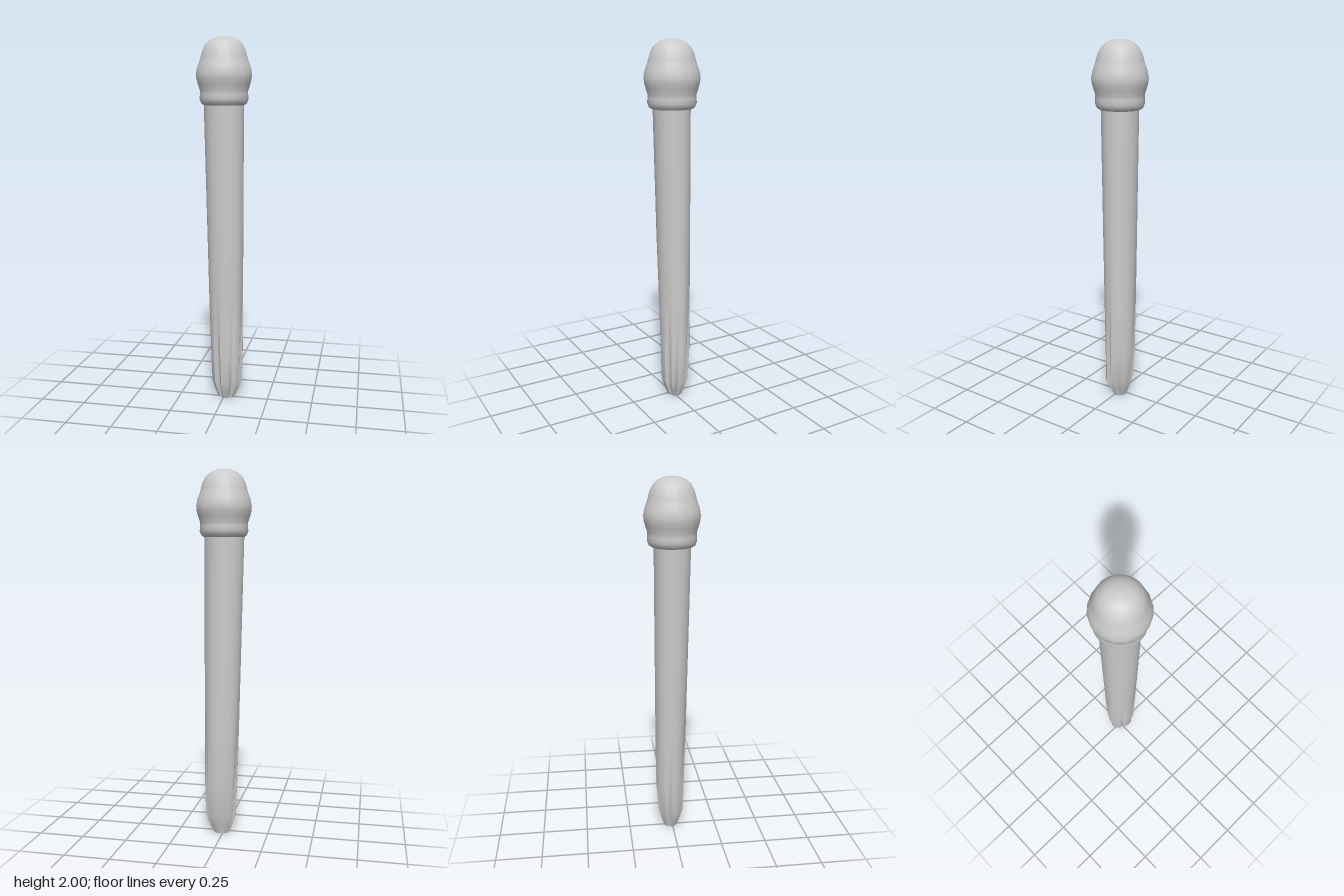
import * as THREE from 'three';
import { toCreasedNormals } from 'three/addons/utils/BufferGeometryUtils.js';

const SIDES = 24;

// Cross-sections of the stick: [y, minX, maxX, minZ, maxZ, groove depth]
const SECTIONS = [
  [0.00, -0.035, 0.060, -0.050, 0.030, 0.16],
  [0.05, -0.054, 0.084, -0.066, 0.050, 0.24],
  [0.10, -0.068, 0.102, -0.078, 0.066, 0.22],
  [0.28, -0.076, 0.105, -0.092, 0.070, 0.13],
  [0.60, -0.085, 0.105, -0.094, 0.078, 0.05],
  [0.95, -0.093, 0.106, -0.095, 0.085, 0],
  [1.70, -0.110, 0.107, -0.097, 0.100, 0],
];

// Sides of the stick that are split near the tip
const GROOVES = [1, 4, 8, 13, 17, 22];

function stickGeometry() {
  const positions = [];
  const index = [];
  for (const [y, x0, x1, z0, z1, depth] of SECTIONS) {
    for (let j = 0; j < SIDES; j++) {
      const a = (j / SIDES) * Math.PI * 2;
      const r = GROOVES.includes(j) ? 1 - depth : 1;
      positions.push(
        (x0 + x1) / 2 + Math.cos(a) * r * (x1 - x0) / 2,
        y,
        (z0 + z1) / 2 + Math.sin(a) * r * (z1 - z0) / 2
      );
    }
  }
  for (let i = 0; i < SECTIONS.length - 1; i++) {
    for (let j = 0; j < SIDES; j++) {
      const p = i * SIDES + j;
      const q = i * SIDES + (j + 1) % SIDES;
      index.push(p, p + SIDES, q, q, p + SIDES, q + SIDES);
    }
  }
  // Closed tip
  const centre = positions.length / 3;
  positions.push(0.012, 0, -0.01);
  for (let j = 0; j < SIDES; j++) index.push(centre, j, (j + 1) % SIDES);

  const geometry = new THREE.BufferGeometry();
  geometry.setAttribute('position', new THREE.Float32BufferAttribute(positions, 3));
  geometry.setIndex(index);
  return toCreasedNormals(geometry, 0.6);
}

// Bulging head, turned from underside to crown
const HEAD_PROFILE = [
  [0.080, 1.655], [0.108, 1.643], [0.122, 1.652], [0.131, 1.675],
  [0.129, 1.70], [0.129, 1.72], [0.139, 1.75], [0.147, 1.78],
  [0.149, 1.805], [0.143, 1.84], [0.131, 1.87], [0.124, 1.895],
  [0.116, 1.925], [0.099, 1.958], [0.072, 1.982], [0.040, 1.995], [0, 2.0],
].map(([r, y]) => new THREE.Vector2(r, y));

export function createModel() {
  const material = new THREE.MeshStandardMaterial({ color: 0xcccccc });
  const model = new THREE.Group();
  model.name = 'match';

  const stick = new THREE.Mesh(stickGeometry(), material);
  stick.name = 'stick';

  const head = new THREE.Mesh(new THREE.LatheGeometry(HEAD_PROFILE, 20), material);
  head.name = 'head';

  model.add(stick, head);
  return model;
}
